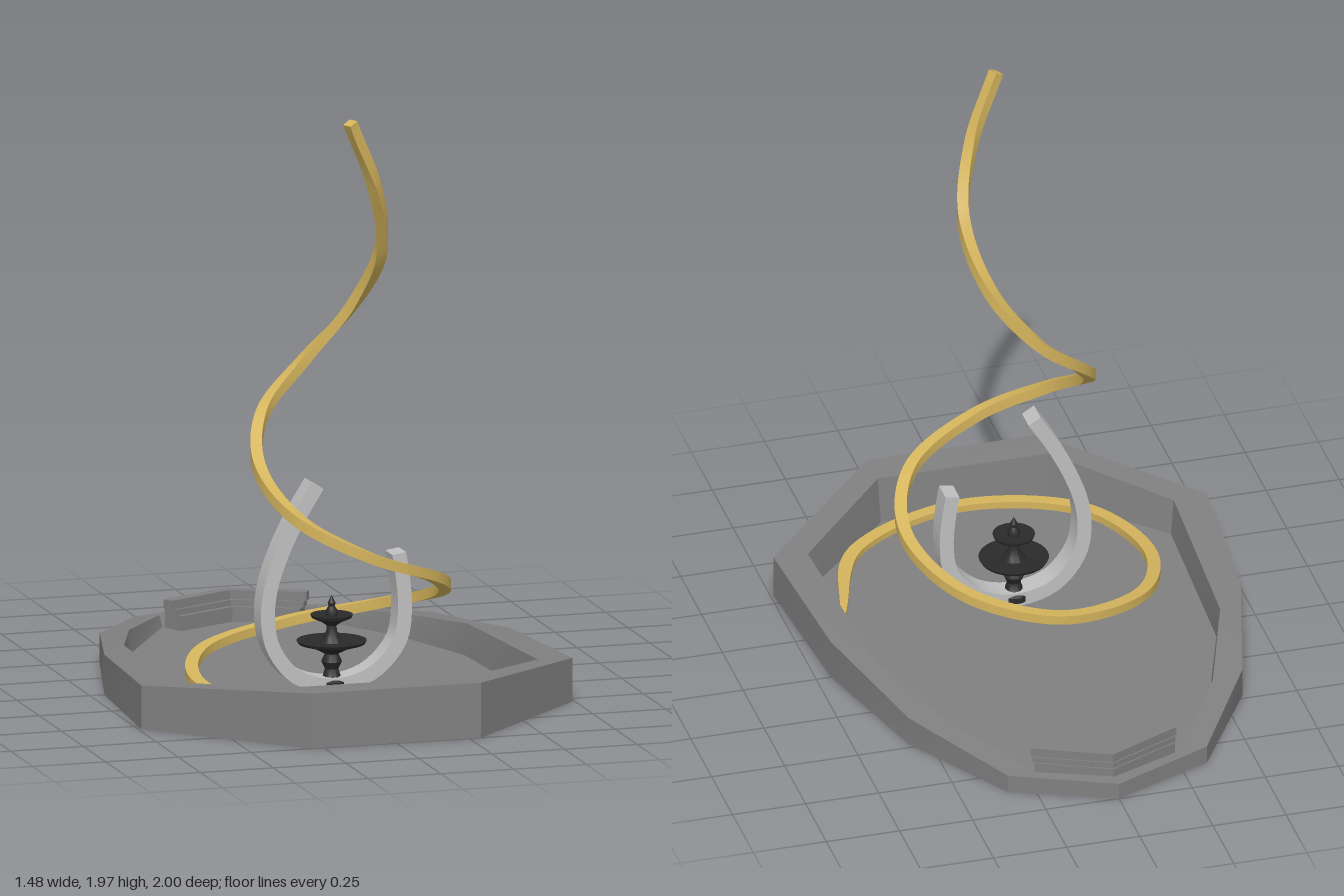
import * as THREE from 'three';
import { toCreasedNormals } from 'three/addons/utils/BufferGeometryUtils.js';

const stone = new THREE.MeshStandardMaterial({ name: 'greyStone', color: 0x808080 });
const pale = new THREE.MeshStandardMaterial({ name: 'paleStone', color: 0xc0c0c0 });
const gold = new THREE.MeshStandardMaterial({ name: 'gold', color: 0xd4b45c });
const iron = new THREE.MeshStandardMaterial({ name: 'darkIron', color: 0x2a2a2a });

// Skin a row of equal cross-sections (counter-clockwise round the path) and cap both ends.
function loft(rings, crease) {
  const n = rings[0].length, index = [];
  for (let i = 0; i < rings.length - 1; i++) {
    for (let j = 0; j < n; j++) {
      const a = i * n + j, b = i * n + (j + 1) % n;
      index.push(a, b, b + n, a, b + n, a + n);
    }
  }
  const last = (rings.length - 1) * n;
  for (let j = 1; j < n - 1; j++) {
    index.push(0, j + 1, j, last, last + j, last + j + 1);
  }
  const geo = new THREE.BufferGeometry();
  geo.setAttribute('position', new THREE.Float32BufferAttribute(rings.flat(2), 3));
  geo.setIndex(index);
  return toCreasedNormals(geo, crease);
}

// Sweep a rectangle along a curve; sideAt gives its width direction.
function sweep(curve, steps, sideAt, widthAt, thickAt) {
  const rings = [];
  for (let i = 0; i <= steps; i++) {
    const t = i / steps;
    const p = curve.getPointAt(t), T = curve.getTangentAt(t);
    const S = sideAt(T), N = T.clone().cross(S);
    rings.push([[1, 1], [-1, 1], [-1, -1], [1, -1]].map(([a, b]) => p.clone()
      .addScaledVector(S, a * widthAt(t) / 2)
      .addScaledVector(N, b * thickAt(t) / 2).toArray()));
  }
  return loft(rings, 0.5);
}

// Mirror half an outline whose last point lies on the centre line.
function mirrored(half) {
  const other = half.slice(0, -1).reverse().map(([x, y, z]) => [-x, y, z]);
  return [...half, ...other];
}

function createModel() {
  const model = new THREE.Group();
  const add = (name, geo, mat) => {
    const mesh = new THREE.Mesh(geo, mat);
    mesh.name = name;
    model.add(mesh);
    return mesh;
  };

  // Sloping basin: outer wall, rim, inner wall and floor
  const outer = mirrored([[0.29, 0.185, 1], [0.74, 0.147, 0.55], [0.7, 0.135, 0],
    [0.57, 0.1, -0.48], [0.34, 0.062, -0.86], [0, 0.056, -1]]);
  const inner = mirrored([[0.29, 0.183, 0.88], [0.625, 0.147, 0.54], [0.59, 0.13, -0.14],
    [0.46, 0.098, -0.51], [0.25, 0.062, -0.86], [0, 0.056, -0.95]]);
  const atHeight = (ring, y, s = 1) => ring.map(([x, , z]) => [x * s, y, z * s]);
  add('basin', loft([atHeight(outer, 0), outer, inner, atHeight(inner, 0.025, 0.98)], 0.3), stone);

  // Stepped chevron ledge at the back
  const chevron = (name, y0, y1, back, front, half) => {
    const slope = 0.45, tip = half - (front - back) * 0.45;
    const shape = new THREE.Shape([
      [0, back], [-half, back + half * slope], [-tip, front + tip * slope],
      [0, front], [tip, front + tip * slope], [half, back + half * slope],
    ].map(([x, z]) => new THREE.Vector2(x, -z)));
    const geo = new THREE.ExtrudeGeometry(shape, { depth: y1 - y0, bevelEnabled: false });
    geo.rotateX(-Math.PI / 2);
    add(name, geo, stone).position.y = y0;
  };
  chevron('ledgeFoot', 0.02, 0.075, -0.935, -0.855, 0.24);
  chevron('ledgeStep', 0.075, 0.095, -0.93, -0.872, 0.245);
  chevron('ledgeTop', 0.095, 0.125, -0.925, -0.885, 0.25);

  // Curved stone prongs joined under the fountain
  const prongs = new THREE.CatmullRomCurve3([
    [-0.06, 0.725], [-0.13, 0.61], [-0.187, 0.49], [-0.22, 0.39], [-0.231, 0.29],
    [-0.211, 0.185], [-0.13, 0.085], [0, 0.05], [0.13, 0.085], [0.222, 0.185],
    [0.24, 0.29], [0.234, 0.39], [0.22, 0.48],
  ].map(([x, y]) => new THREE.Vector3(x, y, 0.265)));
  const zAxis = new THREE.Vector3(0, 0, 1);
  add('prongs', sweep(prongs, 48, () => zAxis, () => 0.08, () => 0.048), pale);

  // Two-tier fountain
  const profile = [[0, 0.04], [0.05, 0.04], [0.05, 0.06], [0.03, 0.075], [0.022, 0.1],
    [0.034, 0.125], [0.022, 0.15], [0.06, 0.17], [0.11, 0.185], [0.116, 0.195],
    [0.1, 0.195], [0.04, 0.19], [0.03, 0.205], [0.018, 0.225], [0.016, 0.245],
    [0.035, 0.258], [0.066, 0.272], [0.07, 0.282], [0.055, 0.28], [0.02, 0.277],
    [0.02, 0.295], [0.01, 0.31], [0.013, 0.32], [0, 0.347]];
  const fountain = new THREE.LatheGeometry(profile.map(([x, y]) => new THREE.Vector2(x, y)), 32);
  add('fountain', toCreasedNormals(fountain, 0.7), iron).position.z = 0.265;

  // Golden ribbon spiralling up from the basin floor
  const spiral = new THREE.CatmullRomCurve3([
    [0.575, 0.04, 0.3], [0.42, 0.045, 0.68], [0.03, 0.06, 0.835], [-0.345, 0.075, 0.69],
    [-0.48, 0.095, 0.33], [-0.36, 0.135, 0.01], [-0.04, 0.18, -0.125], [0.25, 0.25, 0],
    [0.37, 0.34, 0.27], [0.28, 0.44, 0.51], [0.03, 0.54, 0.615], [-0.19, 0.66, 0.53],
    [-0.267, 0.8, 0.33], [-0.2, 0.95, 0.15], [-0.04, 1.1, 0.08], [0.11, 1.29, 0.14],
    [0.168, 1.5, 0.27], [0.115, 1.73, 0.375], [0.015, 1.965, 0.425],
  ].map((p) => new THREE.Vector3(...p)));
  const up = new THREE.Vector3(0, 1, 0);
  const ribbon = sweep(spiral, 240, (T) => T.clone().cross(up).normalize(),
    (t) => Math.min(0.02 + t * 0.5, 0.046 - t * 0.01),
    (t) => 0.018 + 0.016 * Math.min(1, t * 2));
  add('spiralRibbon', ribbon, gold);

  return model;
}

export { createModel };
